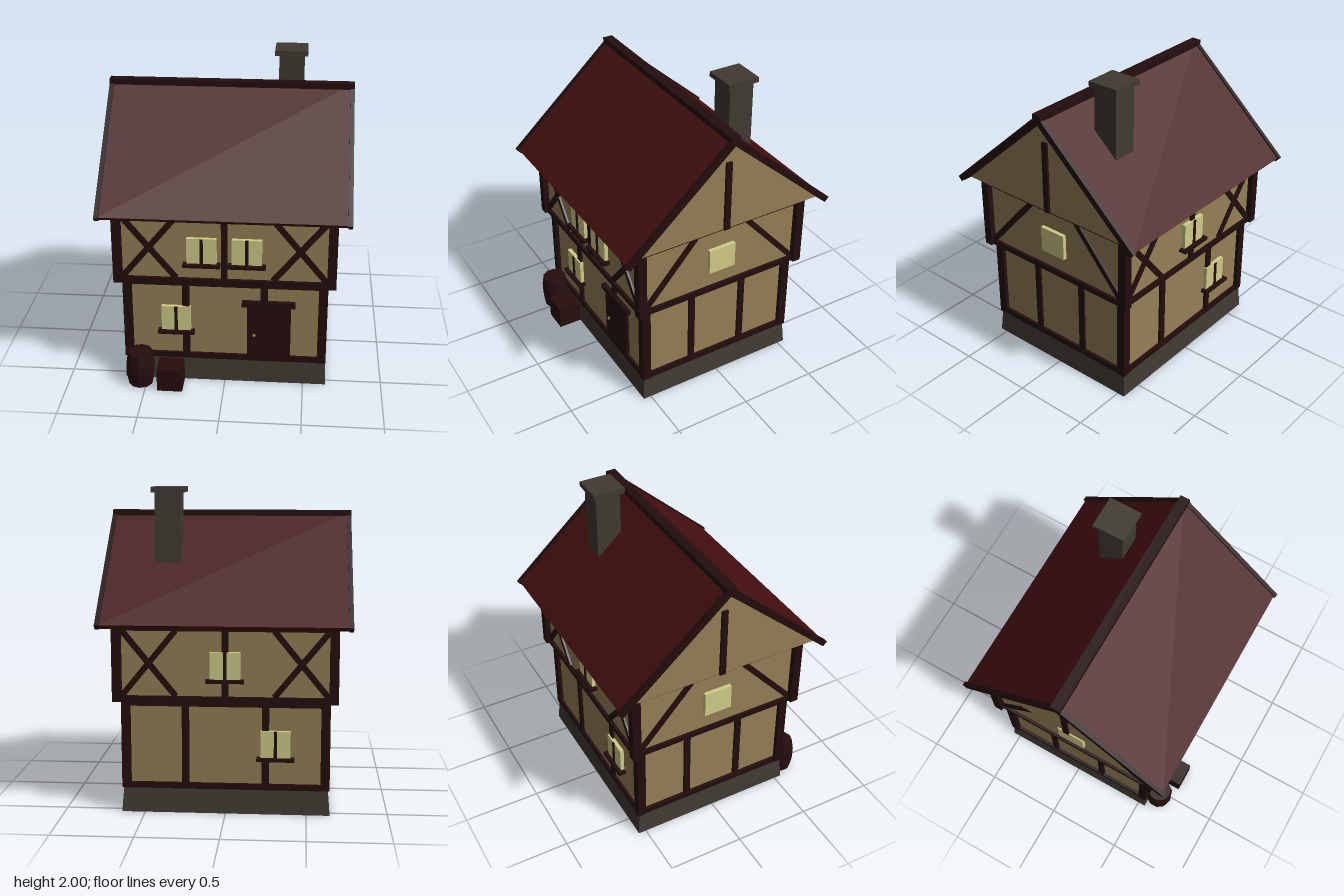
import * as THREE from 'three';

const material = (name, color) => {
  const m = new THREE.MeshStandardMaterial({ color });
  m.name = name;
  return m;
};

export function createModel() {
  const plaster = material('plaster', 0x957f55);
  const timber = material('dark timber', 0x230d0d);
  const roofRed = material('roof red', 0x450f10);
  const stone = material('stone', 0x403a32);
  const glass = material('lit window', 0xd0cc88);
  const wood = material('brown wood', 0x270d0d);
  const brass = material('brass', 0x8a7035);

  const house = new THREE.Group();
  house.name = 'timberFramedHouse';

  const add = (parent, name, geometry, mat, x = 0, y = 0, z = 0) => {
    const mesh = new THREE.Mesh(geometry, mat);
    mesh.name = name;
    mesh.position.set(x, y, z);
    parent.add(mesh);
    return mesh;
  };
  const box = (parent, name, mat, w, h, d, x, y, z) =>
    add(parent, name, new THREE.BoxGeometry(w, h, d), mat, x, y, z);

  // Timber laid flat on a wall between two points
  const brace = (parent, x1, y1, x2, y2, width = 0.036) => {
    const length = Math.hypot(x2 - x1, y2 - y1);
    const m = box(parent, 'brace', timber, length, width, 0.024, (x1 + x2) / 2, (y1 + y2) / 2, 0.002);
    m.rotation.z = Math.atan2(y2 - y1, x2 - x1);
  };
  const post = (parent, x, y1, y2, width) =>
    box(parent, 'post', timber, width, y2 - y1, 0.03, x, (y1 + y2) / 2, 0);

  // Window with optional mullion and sill
  const windowAt = (parent, x, y, full = true) => {
    const g = new THREE.Group();
    g.name = 'window';
    g.position.set(x, y, 0);
    parent.add(g);
    box(g, 'pane', glass, 0.185, 0.17, 0.05, 0, 0, 0);
    if (!full) return;
    box(g, 'mullion', timber, 0.02, 0.17, 0.01, 0, 0, 0.027);
    box(g, 'sill', timber, 0.232, 0.02, 0.08, 0, -0.092, 0.01);
  };

  // Group whose local xy plane is a wall surface
  const wall = (name, angle, distance) => {
    const g = new THREE.Group();
    g.name = name;
    g.rotation.y = angle;
    g.position.set(Math.sin(angle) * distance, 0, Math.cos(angle) * distance);
    house.add(g);
    return g;
  };

  // Horizontal beams around the whole house
  const ring = (name, halfX, halfZ, y1, y2) => {
    const t = 0.05, h = y2 - y1, y = (y1 + y2) / 2;
    for (const s of [-1, 1]) {
      box(house, name, timber, halfX * 2, h, t, 0, y, s * (halfZ - t / 2));
      box(house, name, timber, t, h, halfZ * 2, s * (halfX - t / 2), y, 0);
    }
  };

  // Stone base, wider at the foot
  const base = new THREE.BoxGeometry(1.29, 0.155, 1.1);
  const p = base.attributes.position;
  for (let i = 0; i < p.count; i++)
    if (p.getY(i) > 0) p.setXYZ(i, p.getX(i) * 0.98, p.getY(i), p.getZ(i) * 0.98);
  base.computeVertexNormals();
  add(house, 'stoneBase', base, stone, 0, 0.0775, 0);

  // Two storeys with ring beams and corner posts
  box(house, 'groundFloor', plaster, 1.23, 0.56, 1.05, 0, 0.435, 0);
  box(house, 'upperFloor', plaster, 1.3, 0.462, 1.12, 0, 0.945, 0);
  box(house, 'upperFloorUnderside', timber, 1.31, 0.01, 1.13, 0, 0.716, 0);
  ring('sillBeam', 0.636, 0.543, 0.153, 0.19);
  ring('groundTopBeam', 0.636, 0.543, 0.675, 0.714);
  ring('upperFloorBeam', 0.67, 0.58, 0.711, 0.745);
  ring('eavesBeam', 0.668, 0.578, 1.147, 1.18);
  for (const sx of [-1, 1])
    for (const sz of [-1, 1]) {
      box(house, 'groundCornerPost', timber, 0.056, 0.555, 0.056, sx * 0.614, 0.4325, sz * 0.521);
      box(house, 'upperCornerPost', timber, 0.056, 0.46, 0.056, sx * 0.66, 0.94, sz * 0.569);
    }

  // Front and back walls
  for (const [side, angle] of [['front', 0], ['back', Math.PI]]) {
    const low = wall(side + 'GroundWall', angle, 0.525);
    const high = wall(side + 'UpperWall', angle, 0.56);
    for (const s of [-1, 1]) {
      post(low, s * 0.246, 0.18, 0.69, 0.045);
      brace(high, s * 0.63, 1.15, s * 0.3, 0.745);
      brace(high, s * 0.63, 0.745, s * 0.3, 1.15);
    }
    post(high, 0, 0.73, 1.16, 0.04);
    if (side === 'front') {
      windowAt(low, -0.308, 0.443);
      for (const s of [-1, 1]) windowAt(high, s * 0.139, 0.936);
      // Door with lintel and knob
      box(low, 'door', wood, 0.275, 0.4, 0.04, 0.278, 0.353, 0);
      box(low, 'doorLintel', timber, 0.335, 0.036, 0.06, 0.275, 0.563, 0);
      add(low, 'doorKnob', new THREE.SphereGeometry(0.011, 10, 8), brass, 0.185, 0.34, 0.024);
    } else {
      windowAt(low, 0.308, 0.443);
      windowAt(high, 0, 0.936);
    }
  }

  // End walls and gable posts
  for (const s of [-1, 1]) {
    const side = s > 0 ? 'left' : 'right';
    const low = wall(side + 'GroundWall', s * Math.PI / 2, 0.615);
    const high = wall(side + 'UpperWall', s * Math.PI / 2, 0.65);
    const gable = wall(side + 'Gable', s * Math.PI / 2, 0.7);
    for (const t of [-1, 1]) {
      post(low, t * 0.186, 0.18, 0.69, 0.042);
      brace(high, t * 0.545, 0.74, t * 0.185, 1.15);
    }
    windowAt(high, 0, 0.94, false);
    post(gable, 0, 1.18, 1.65, 0.04);
  }

  // Profile in the z-y plane, extruded along x
  const prism = (name, mat, points, length, x = 0) => {
    const shape = new THREE.Shape(points.map(([a, b]) => new THREE.Vector2(a, b)));
    const g = new THREE.ExtrudeGeometry(shape, { depth: length, bevelEnabled: false });
    g.translate(0, 0, -length / 2);
    g.rotateY(Math.PI / 2);
    return add(house, name, g, mat, x);
  };
  const chevron = (z1, y1, top, z2, y2, inner) =>
    [[z1, y1], [0, top], [-z1, y1], [-z2, y2], [0, inner], [z2, y2]];

  // Attic, roof, edge boards and ridge
  prism('attic', plaster, [[-0.688, 1.18], [0.688, 1.18], [0, 1.8]], 1.4);
  box(house, 'eavesSoffit', timber, 1.38, 0.004, 1.37, 0, 1.179, 0);
  prism('roof', roofRed, chevron(0.706, 1.198, 1.833, 0.684, 1.174, 1.79), 1.49);
  for (const s of [-1, 1])
    prism('edgeBoard', timber, chevron(0.72, 1.198, 1.845, 0.693, 1.17, 1.787), 0.027, s * 0.7515);
  box(house, 'ridgeBeam', timber, 1.53, 0.036, 0.064, 0, 1.829, 0);

  // Chimney
  box(house, 'chimney', stone, 0.16, 0.58, 0.164, 0.37, 1.685, -0.246);
  box(house, 'chimneyCap', stone, 0.208, 0.033, 0.208, 0.367, 1.9835, -0.246);

  // Barrel and crate beside the front wall
  const staves = [[0, 0], [0.078, 0], [0.09, 0.075], [0.09, 0.155], [0.078, 0.23], [0, 0.23]]
    .map(([r, y]) => new THREE.Vector2(r, y));
  const barrel = new THREE.LatheGeometry(staves, 10).toNonIndexed();
  barrel.computeVertexNormals();
  add(house, 'barrel', barrel, wood, -0.537, 0, 0.605);
  box(house, 'crate', wood, 0.16, 0.152, 0.155, -0.34, 0.076, 0.627);

  return house;
}
